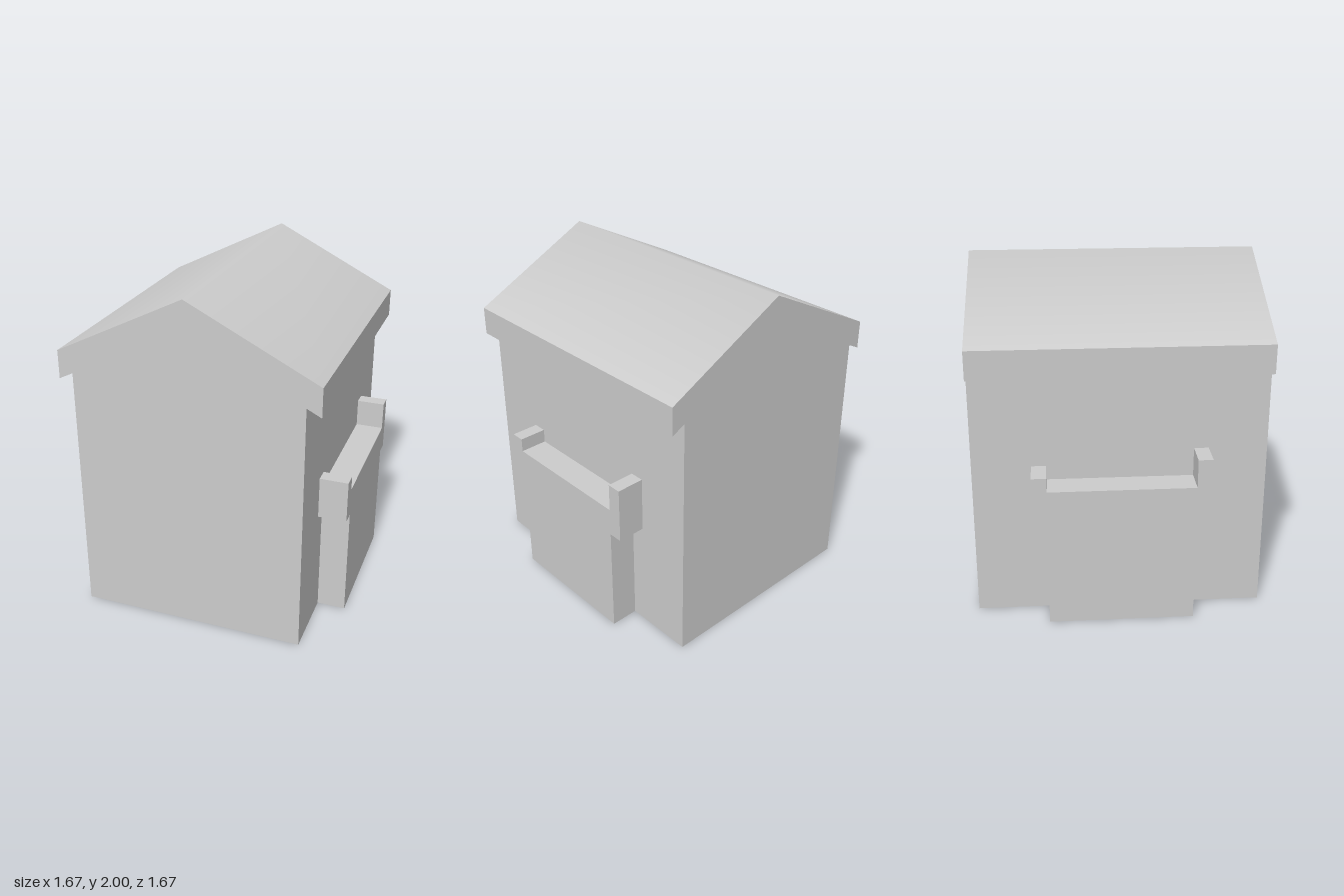
import * as THREE from 'three';

const material = new THREE.MeshStandardMaterial({ color: 0xcccccc });

// Extrude a closed outline given as [x, y] corners
function extrude(points, depth) {
  const shape = new THREE.Shape(points.map(([x, y]) => new THREE.Vector2(x, y)));
  return new THREE.ExtrudeGeometry(shape, { depth, bevelEnabled: false });
}

function part(name, geometry) {
  const mesh = new THREE.Mesh(geometry, material);
  mesh.name = name;
  return mesh;
}

export function createModel() {
  const model = new THREE.Group();
  model.name = 'hut';

  // Hut walls and gabled roof with overhanging eaves, one solid section
  const half = 0.8333;
  const hut = extrude([
    [-0.667, 0], [0.667, 0], [0.667, 1.5], [0.75, 1.4583], [0.75, 1.625],
    [0, 2], [-0.75, 1.625], [-0.75, 1.4583], [-0.667, 1.5],
  ], 2 * half);
  hut.translate(0, 0, -half);

  // Soften the ridge so the two slopes shade into each other
  const pos = hut.attributes.position, normal = hut.attributes.normal;
  for (let i = 0; i < pos.count; i++) {
    if (pos.getY(i) > 1.99 && normal.getY(i) > 0.5) normal.setXYZ(i, 0, 1, 0);
  }
  model.add(part('hutBody', hut));

  // Side bench: a block with a short and a tall armrest, outlined from the side
  const bench = extrude([
    [-0.4167, 0], [0.4167, 0], [0.4167, 0.6667], [0.5, 0.6667], [0.5, 1], [0.4167, 1],
    [0.4167, 0.8333], [-0.4167, 0.8333], [-0.4167, 0.9167], [-0.5, 0.9167],
    [-0.5, 0.6667], [-0.4167, 0.6667],
  ], 0.1663);
  bench.rotateY(Math.PI / 2);
  bench.translate(0.667, 0, 0);

  // The opposite bench is turned half way round
  ['leftBench', 'rightBench'].forEach((name, i) => {
    const mesh = part(name, bench);
    mesh.rotation.y = i * Math.PI;
    model.add(mesh);
  });

  return model;
}
